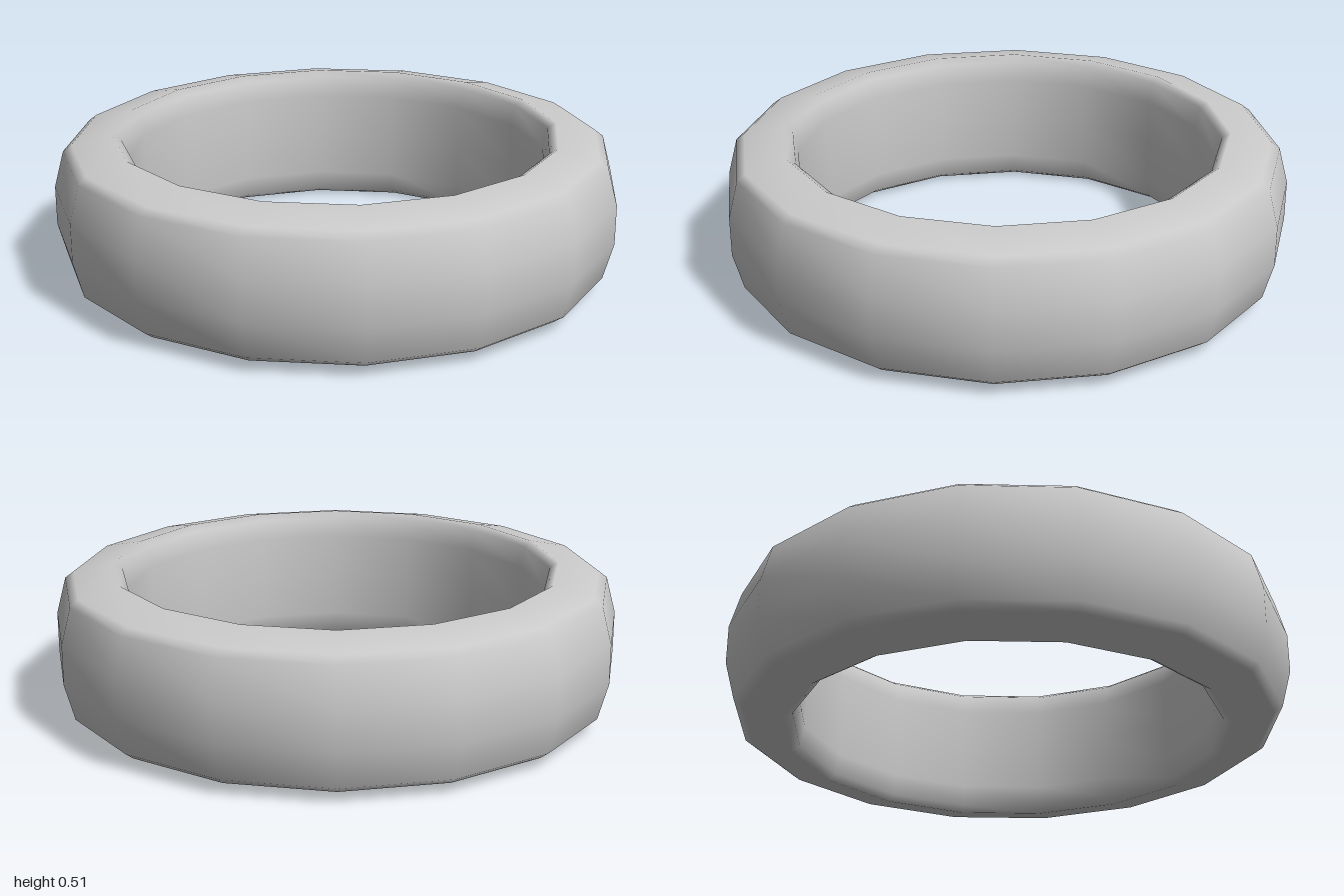
import * as THREE from 'three';

export function createModel() {
  const group = new THREE.Group();
  group.name = 'ringModel';

  // Upper half of the cross-section as [radius, height above the mid-plane],
  // from the outer wall over the crown to the inner wall.
  const upper = [
    [1, 0.07], [0.965, 0.2], [0.935, 0.223], [0.79, 0.255], [0.76, 0.235], [0.745, 0.16],
  ];
  const mid = 0.255;
  const lower = upper.map(([r, h]) => [r, -h]).reverse();

  // Closed loop that starts and ends halfway up the inner wall
  const loop = [[0.745, 0], ...lower, ...upper, [0.745, 0]];
  const profile = loop.map(([r, h]) => new THREE.Vector2(r, mid + h));

  // Sixteen-sided band with smooth normals
  const band = new THREE.Mesh(
    new THREE.LatheGeometry(profile, 16),
    new THREE.MeshStandardMaterial({ color: 0xcccccc }),
  );
  band.name = 'band';
  group.add(band);
  return group;
}
